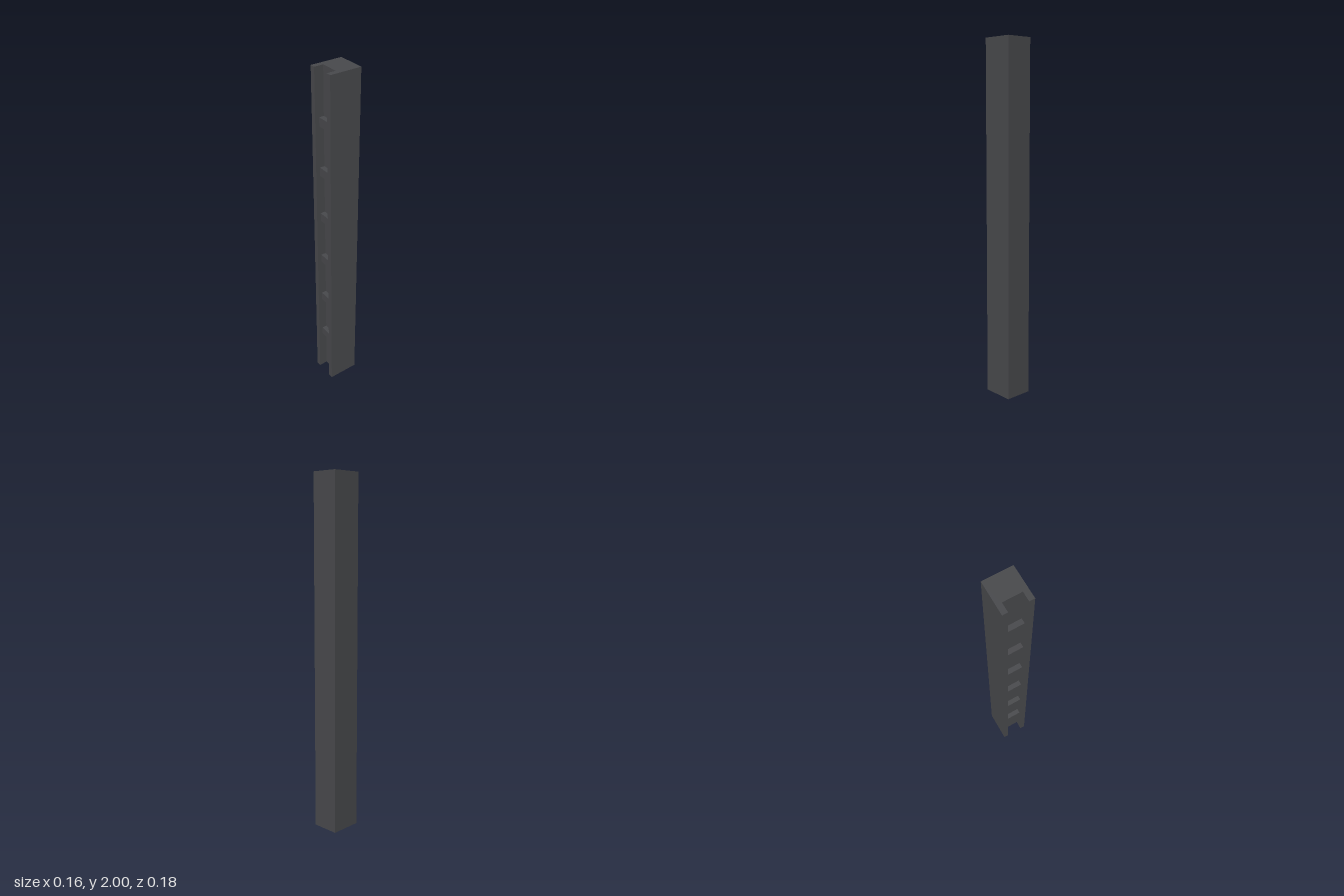
import * as THREE from 'three';

export function createModel() {
  const group = new THREE.Group();
  group.name = 'channelPost';
  const material = new THREE.MeshStandardMaterial({ color: 0x48494c });

  const W = 0.079, D = 0.09, H = 2; // half width, half depth, height
  const slot = 0.05, floorZ = 0.038; // slot half width and back wall

  // Post: U-shaped section (shape y becomes -z) extruded upwards
  const section = new THREE.Shape([
    [-W, -D], [-slot, -D], [-slot, -floorZ], [slot, -floorZ],
    [slot, -D], [W, -D], [W, D], [-W, D],
  ].map(([x, y]) => new THREE.Vector2(x, y)));
  const postGeometry = new THREE.ExtrudeGeometry(section, { depth: H, bevelEnabled: false });
  postGeometry.rotateX(-Math.PI / 2);
  const post = new THREE.Mesh(postGeometry, material);
  post.name = 'post';
  group.add(post);

  // Rungs: evenly spaced bars across the slot
  const rungDepth = 0.028;
  const rungGeometry = new THREE.BoxGeometry(slot * 2, 0.049, rungDepth);
  for (let i = 0; i < 6; i++) {
    const rung = new THREE.Mesh(rungGeometry, material);
    rung.name = `rung${i + 1}`;
    rung.position.set(0, 0.294 + i * 0.2836, floorZ + rungDepth / 2);
    group.add(rung);
  }
  return group;
}
